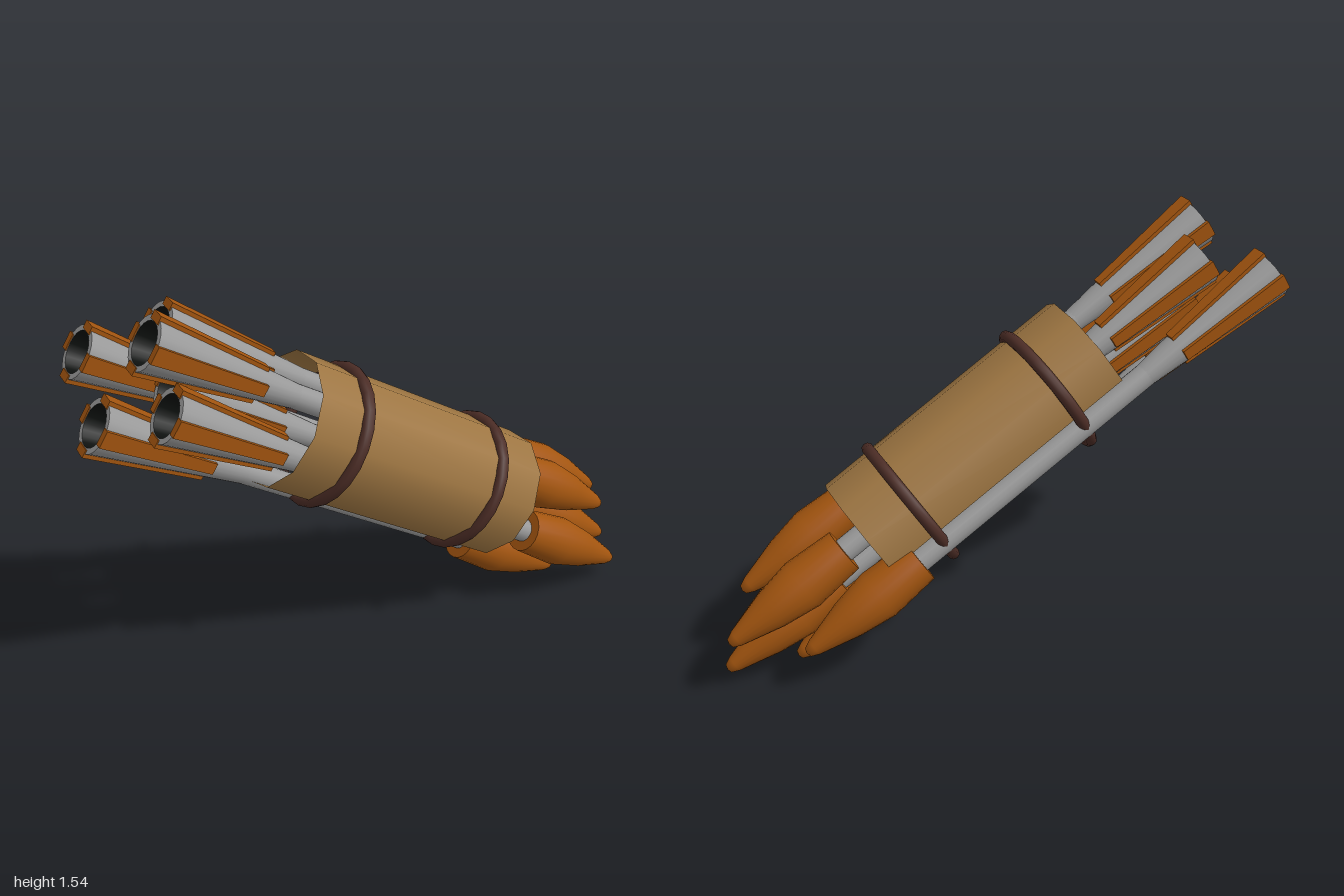
import * as THREE from 'three';

const mat = (name, color, side = THREE.FrontSide) => {
  const m = new THREE.MeshStandardMaterial({ color, side });
  m.name = name;
  return m;
};

const LENGTH = 2.18;   // whole bolt, tip to tail
const FLARE = 0.6;     // length of the flared tail
const FIN = 0.45;      // length of each tail strip
const SHAFT_R = 0.045, MOUTH_R = 0.097, HOLE_R = 0.076;

// Solid of revolution about z; repeat a point for a sharp edge
function lathe(points, segments = 20) {
  const g = new THREE.LatheGeometry(points.map(p => new THREE.Vector2(p[0], p[1])), segments);
  g.normalizeNormals();
  return g.rotateX(Math.PI / 2);
}

// Strip lying along the flare, narrowing towards the shaft
function finGeometry() {
  const g = new THREE.BoxGeometry(1, 1, 1);
  const p = g.attributes.position;
  for (let i = 0; i < p.count; i++) {
    const tail = p.getZ(i) > 0, outer = p.getY(i) > 0;
    const z = tail ? LENGTH + 0.004 : LENGTH - FIN;
    const r = MOUTH_R - (MOUTH_R - SHAFT_R) * (LENGTH - z) / FLARE;
    p.setXYZ(i, p.getX(i) * (tail ? 0.062 : 0.042), r + (outer ? 0.01 : -0.02), z);
  }
  g.computeVertexNormals();
  return g;
}

export function createModel() {
  const grey = mat('greyShaft', 0x999999);
  const orange = mat('burntOrange', 0xa3550f);
  const tan = mat('tanLeather', 0x9e7642, THREE.DoubleSide);
  const brown = mat('darkBrownCord', 0x4b2c25);
  const black = mat('blackHollow', 0x0c0f0d, THREE.DoubleSide);

  const model = new THREE.Group();
  model.name = 'boltBundle';
  const bundle = new THREE.Group();
  bundle.name = 'tiltedBundle';
  model.add(bundle);

  const add = (parent, name, geometry, material) => {
    const m = new THREE.Mesh(geometry, material);
    m.name = name;
    parent.add(m);
    return m;
  };

  // Shared bolt parts, tip at z = 0 and tail at z = LENGTH
  const head = lathe([[0, 0], [0.018, 0.006], [0.032, 0.035], [0.074, 0.19], [0.097, 0.33],
    [0.083, 0.52], [0.083, 0.52], [0, 0.52]]);
  const shaft = new THREE.CylinderGeometry(SHAFT_R, SHAFT_R, LENGTH - FLARE - 0.3, 16)
    .rotateX(Math.PI / 2).translate(0, 0, (LENGTH - FLARE + 0.5) / 2);
  const flare = lathe([[SHAFT_R, LENGTH - FLARE], [MOUTH_R, LENGTH], [MOUTH_R, LENGTH], [HOLE_R, LENGTH]]);
  const hollow = lathe([[0, LENGTH - 0.12], [0.065, LENGTH - 0.12], [0.065, LENGTH - 0.12], [HOLE_R, LENGTH]]);
  const fin = finGeometry();

  // Five bolts in a ring and one in the middle: across, up, tip distance
  const bolts = [
    [0.075, 0.115, 1.01], [-0.14, 0.12, 1.14], [-0.22, -0.07, 0.957],
    [0, -0.225, 1.02], [0.145, -0.07, 1.16], [-0.04, -0.035, 1.23],
  ];
  for (const [x, y, tip] of bolts) {
    const bolt = new THREE.Group();
    bolt.name = 'bolt';
    bolt.position.set(x, y, -tip);
    bundle.add(bolt);
    add(bolt, 'boltHead', head, orange);
    add(bolt, 'boltShaft', shaft, grey);
    add(bolt, 'flaredTail', flare, grey);
    add(bolt, 'tailHollow', hollow, black);
    for (let i = 0; i < 4; i++) add(bolt, 'tailStrip', fin, orange).rotation.z = i * Math.PI / 2;
  }

  // Leather wrap, open along one quarter
  add(bundle, 'leatherWrap',
    new THREE.CylinderGeometry(0.25, 0.25, 1.07, 8, 1, true, 0, Math.PI * 1.5).rotateX(Math.PI / 2), tan);

  // Binding cords
  for (const s of [-1, 1]) {
    add(bundle, 'bindingCord', new THREE.TorusGeometry(0.25, 0.023, 10, 24), brown).position.z = s * 0.329;
  }

  // Tilt the bundle, heads down and to the back
  const across = new THREE.Vector3(0.544, 0, 0.839).normalize();
  const back = new THREE.Vector3(-0.714, 0.524, 0.463).normalize();
  const up = back.clone().cross(across).normalize();
  back.crossVectors(across, up);
  bundle.quaternion.setFromRotationMatrix(new THREE.Matrix4().makeBasis(across, up, back));
  bundle.position.set(0.12, 0.737, -0.012);
  return model;
}
